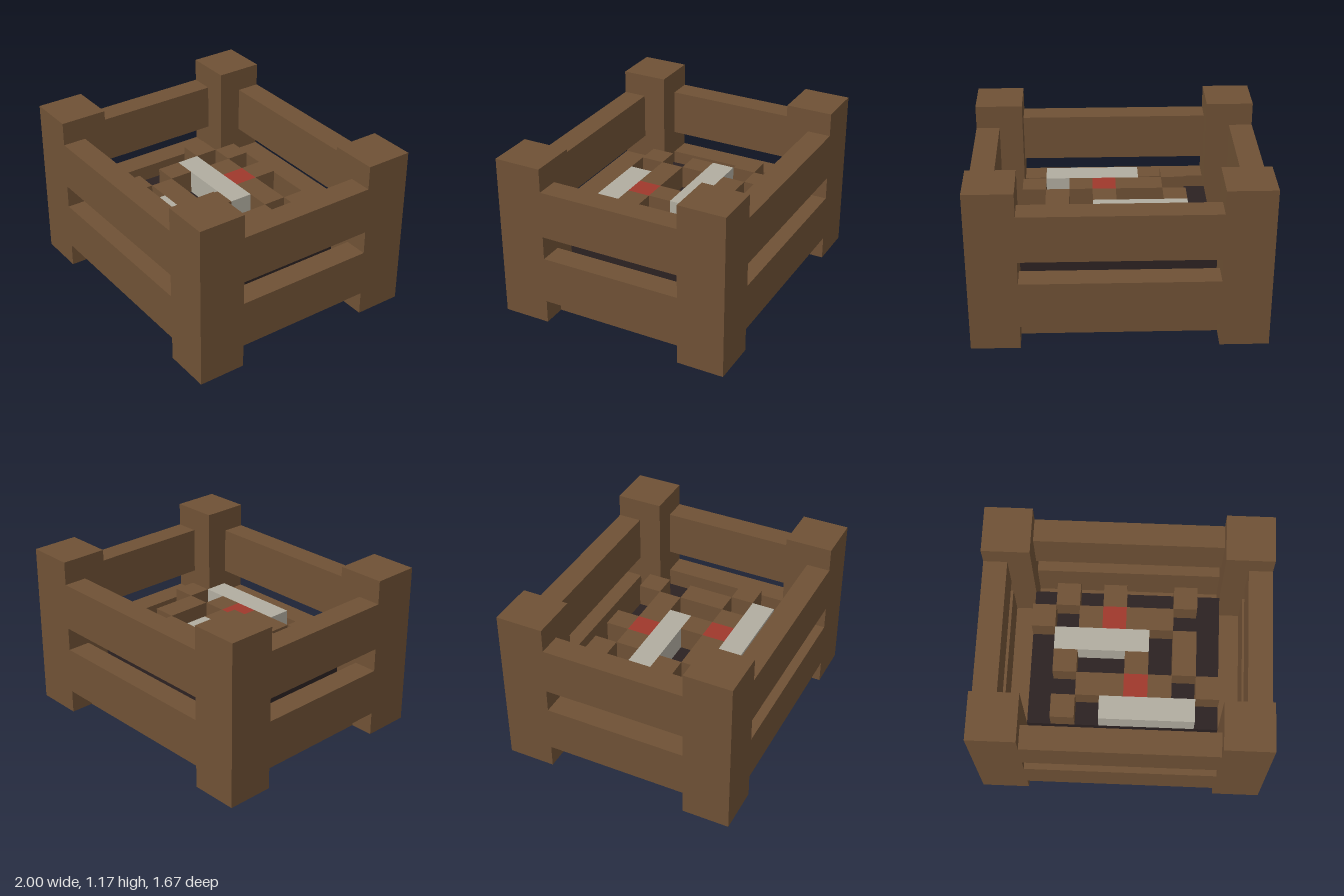
import * as THREE from 'three';

const U = 1 / 6; // one block unit

export function createModel() {
  const model = new THREE.Group();
  model.name = 'crate';

  const paint = (name, color) => {
    const m = new THREE.MeshStandardMaterial({ color });
    m.name = name;
    return m;
  };
  const wood = paint('brown wood', 0x6f5135);
  const soil = paint('dark soil', 0x2c2222);
  const pale = paint('pale grey', 0xb1ada0);
  const red = paint('red', 0x9f382c);

  // Box given by its lower and upper corners in block units
  const box = (name, material, [x0, y0, z0], [x1, y1, z1], parent = model) => {
    const mesh = new THREE.Mesh(
      new THREE.BoxGeometry((x1 - x0) * U, (y1 - y0) * U, (z1 - z0) * U), material);
    mesh.position.set((x0 + x1) / 2 * U, (y0 + y1) / 2 * U, (z0 + z1) / 2 * U);
    mesh.name = name;
    parent.add(mesh);
  };

  // Floor slab, set in by one unit beneath the rails
  box('floor', wood, [-5, 0, -4], [5, 1, 4]);

  // Corner posts
  for (const sx of [-1, 1]) for (const sz of [-1, 1]) {
    const x = sx * 5, z = sz * 4;
    box('cornerPost', wood, [x - 1, 0, z - 1], [x + 1, 7, z + 1]);
  }

  // Lower and upper rails on all four sides
  for (const [level, y0, y1] of [['lower', 1, 3], ['upper', 4, 6]]) {
    for (const s of [-1, 1]) {
      const z = s * 4.5, x = s * 5.5;
      box(level + (s > 0 ? 'FrontRail' : 'BackRail'), wood, [-4, y0, z - 0.5], [4, y1, z + 0.5]);
      box(level + (s > 0 ? 'LeftRail' : 'RightRail'), wood, [x - 0.5, y0, -3], [x + 0.5, y1, 3]);
    }
  }

  // Dark filling inside the crate
  box('filling', soil, [-4, 1, -3], [4, 3, 3]);

  // Raised blocks on the filling, rows from back to front: b brown, p pale, r red
  const rows = [
    '.b.b..b.',
    'b.brbb..',
    '.pppp.b.',
    '.b..b.b.',
    '..bbrb.b',
    '.b.pppp.',
  ];
  const kinds = { b: ['brownBlock', wood], p: ['paleBlock', pale], r: ['redBlock', red] };
  const blocks = new THREE.Group();
  blocks.name = 'contents';
  model.add(blocks);
  rows.forEach((row, i) => {
    for (const run of row.matchAll(/b+|p+|r+/g)) {
      const [name, material] = kinds[run[0][0]];
      const x = run.index - 4;
      box(name, material, [x, 3, i - 3], [x + run[0].length, 4, i - 2], blocks);
    }
  });

  return model;
}
